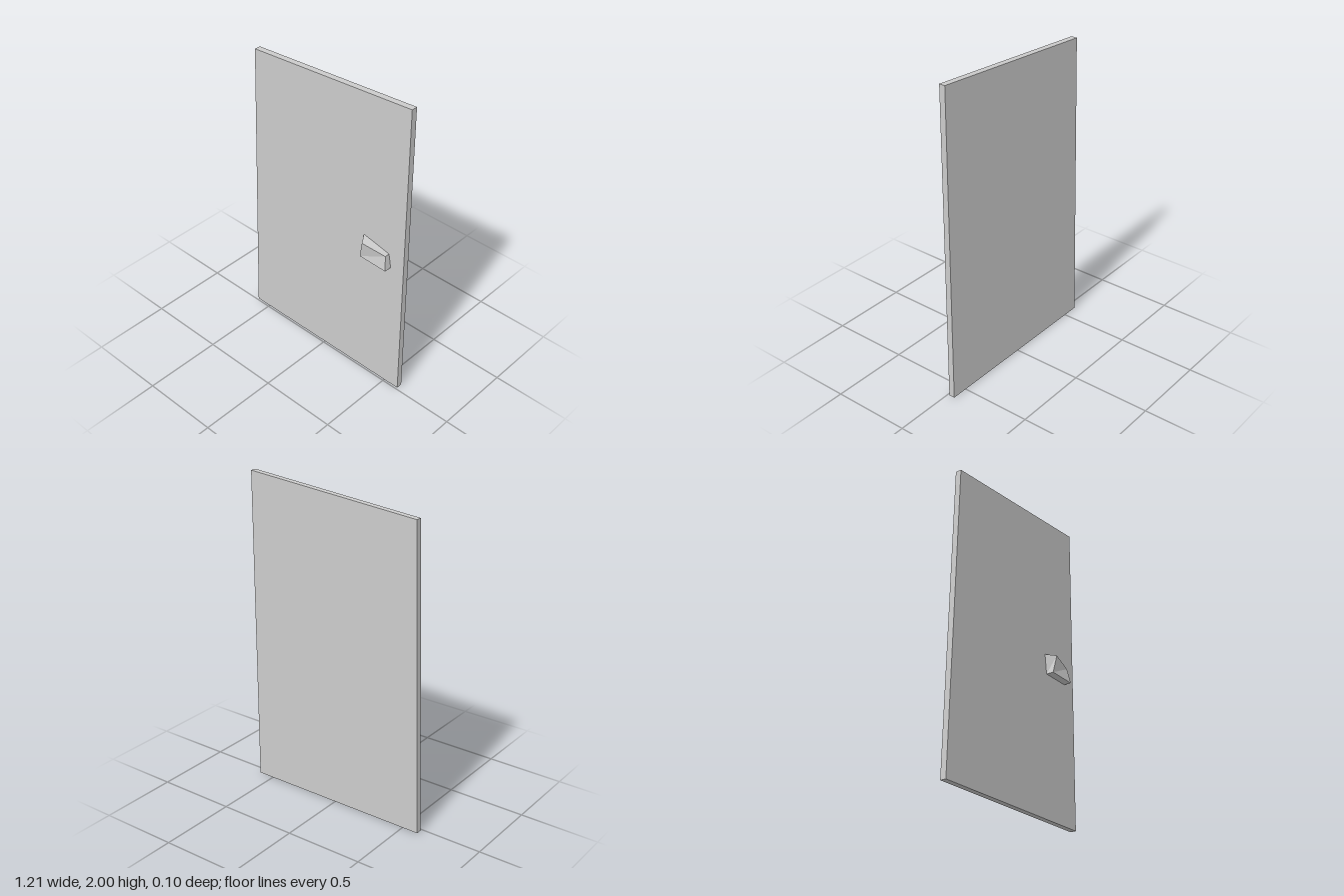
import * as THREE from 'three';

const material = new THREE.MeshStandardMaterial({ color: 0xcccccc, flatShading: true });

// Box whose corners are moved; corners are keyed by side: L/R, B/T (bottom/top), b/f (back/front)
function skewedBox(name, corners) {
  const geometry = new THREE.BoxGeometry(1, 1, 1).toNonIndexed();
  const p = geometry.attributes.position;
  for (let i = 0; i < p.count; i++) {
    const key = (p.getX(i) < 0 ? 'L' : 'R') + (p.getY(i) < 0 ? 'B' : 'T') + (p.getZ(i) < 0 ? 'b' : 'f');
    p.setXYZ(i, ...corners[key]);
  }
  geometry.computeVertexNormals();
  const mesh = new THREE.Mesh(geometry, material);
  mesh.name = name;
  return mesh;
}

export function createModel() {
  const group = new THREE.Group();
  group.name = 'door';
  const back = -0.05, face = -0.012;

  // Crooked door slab with a slanted top and left edge
  const outline = { LB: [-0.605, 0], RB: [0.605, 0], RT: [0.605, 2], LT: [-0.543, 1.914] };
  const slab = {};
  for (const [key, xy] of Object.entries(outline)) {
    slab[key + 'b'] = [...xy, back];
    slab[key + 'f'] = [...xy, face];
  }
  group.add(skewedBox('doorPanel', slab));

  // Tapered wedge handle on the front face
  group.add(skewedBox('handle', {
    LTb: [0.305, 1.036, face], LTf: [0.343, 1.025, 0.049],
    RTb: [0.495, 0.995, face], RTf: [0.495, 0.995, 0.02],
    LBb: [0.319, 0.91, face], LBf: [0.319, 0.91, 0.036],
    RBb: [0.511, 0.904, face], RBf: [0.511, 0.904, 0.036],
  }));

  return group;
}
